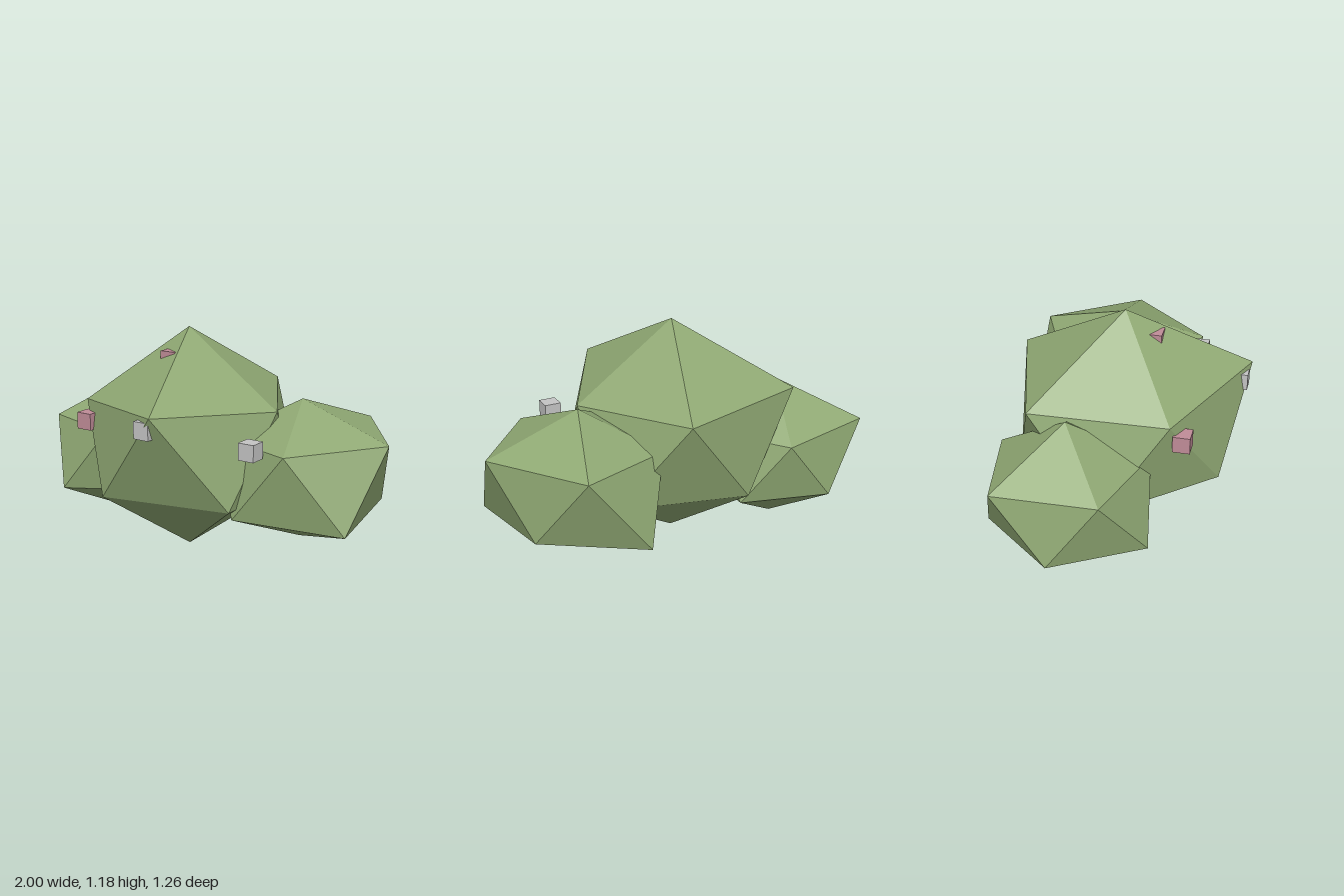
import * as THREE from 'three';

// Uneven icosahedron standing on its pole: two staggered rings of five corners.
// upper / lower hold the horizontal reach of each corner, going round from +x to +z.
function lumpGeometry(poleTop, poleBottom, upper, lower) {
  const points = [0, poleTop, 0, 0, -poleBottom, 0];
  const ring = (radii, offset, slope) => radii.forEach((r, i) => {
    const a = (i + offset) * Math.PI * 2 / 5;
    points.push(Math.cos(a) * r, r * slope, Math.sin(a) * r);
  });
  ring(upper, 0, 0.4);
  ring(lower, 0.5, -0.4);

  const index = [];
  for (let i = 0; i < 5; i++) {
    const next = (i + 1) % 5;
    const u = 2 + i, u2 = 2 + next, l = 7 + i, l2 = 7 + next;
    index.push(0, u2, u, u, u2, l, l2, l, u2, 1, l, l2);
  }
  const indexed = new THREE.BufferGeometry();
  indexed.setAttribute('position', new THREE.Float32BufferAttribute(points, 3));
  indexed.setIndex(index);
  const geometry = indexed.toNonIndexed();
  geometry.computeVertexNormals();
  return geometry;
}

export function createModel() {
  const group = new THREE.Group();
  const material = (name, color) => {
    const m = new THREE.MeshStandardMaterial({ color });
    m.name = name;
    return m;
  };
  const leafGreen = material('leafGreen', 0x8fa873);
  leafGreen.flatShading = true;
  const blossomPink = material('blossomPink', 0xc08c98);
  const blossomWhite = material('blossomWhite', 0xc4c4c4);

  const add = (name, geometry, mat, position) => {
    const mesh = new THREE.Mesh(geometry, mat);
    mesh.name = name;
    mesh.position.set(...position);
    group.add(mesh);
  };

  // Foliage: a large middle lump and a smaller one on each side
  add('middleFoliage', lumpGeometry(0.59, 0.59,
    [0.53, 0.65, 0.53, 0.63, 0.61], [0.58, 0.547, 0.59, 0.547, 0.58]),
  leafGreen, [-0.07, 0.59, 0.01]);
  add('rightFoliage', lumpGeometry(0.39, 0.395,
    [0.41, 0.41, 0.413, 0.46, 0.384], [0.41, 0.457, 0.41, 0.394, 0.41]),
  leafGreen, [-0.59, 0.44, -0.165]);
  add('leftFoliage', lumpGeometry(0.365, 0.365,
    [0.48, 0.452, 0.42, 0.42, 0.493], [0.508, 0.457, 0.44, 0.515, 0.42]),
  leafGreen, [0.52, 0.485, -0.14]);

  // Blossoms: small cubes set into the foliage
  const cube = new THREE.BoxGeometry(0.086, 0.086, 0.086);
  add('sidePinkBlossom', cube, blossomPink, [-0.445, 0.708, 0.375]);
  add('topPinkBlossom', cube, blossomPink, [-0.07, 1.035, 0.157]);
  add('frontWhiteBlossom', cube, blossomWhite, [0.075, 0.78, 0.575]);
  add('sideWhiteBlossom', cube, blossomWhite, [0.49, 0.678, 0.305]);

  return group;
}
